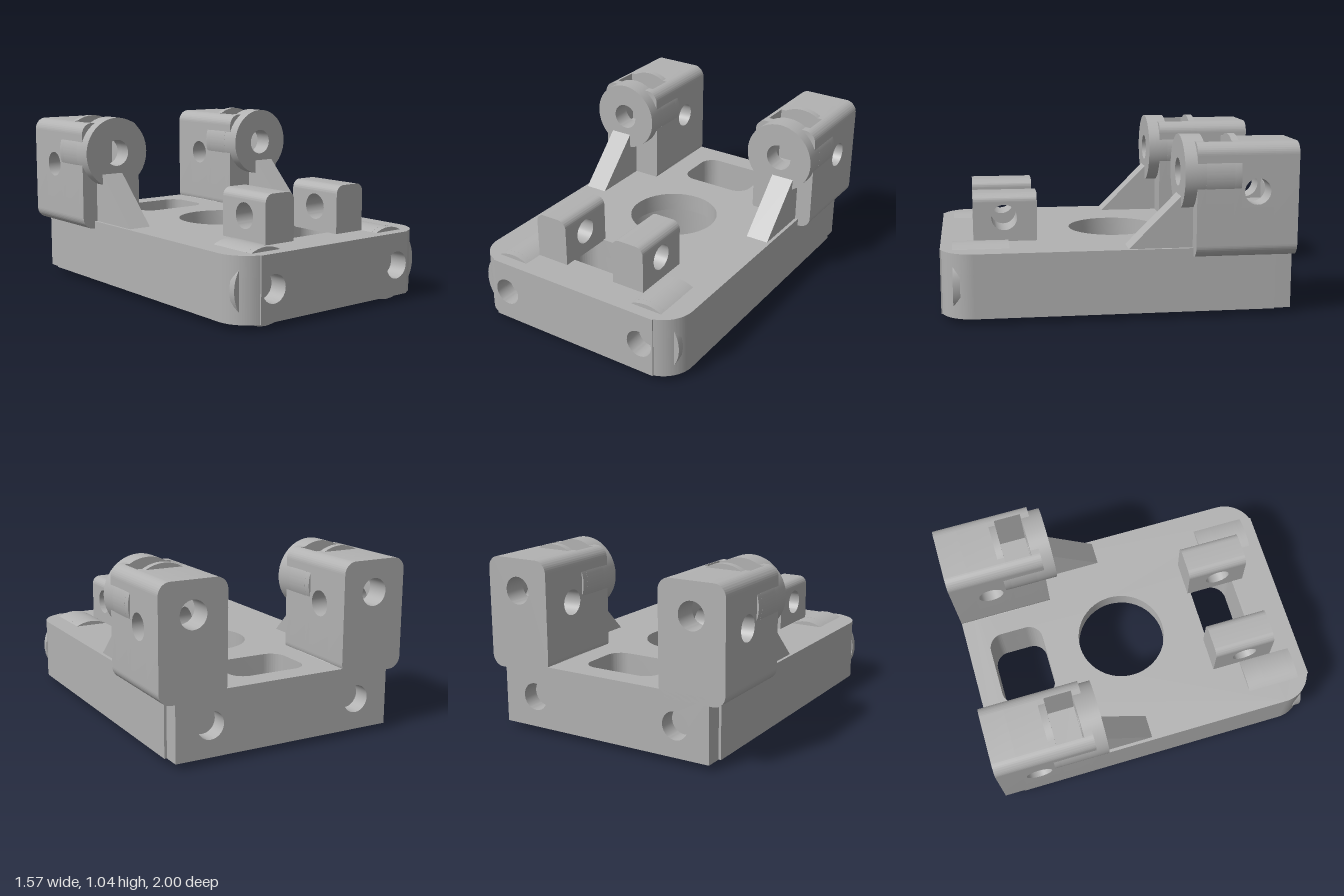
import * as THREE from 'three';
import { toCreasedNormals } from 'three/addons/utils/BufferGeometryUtils.js';

const grey = new THREE.MeshStandardMaterial({ color: 0xb2b2b2 });
grey.name = 'grey';

// Rectangle x0..x1, y0..y1 with top radius rt and bottom radius rb
function rect(x0, x1, y0, y1, rt = 0, rb = 0, T = THREE.Shape) {
  const s = new T();
  const corner = (x, y, r, a) => (r ? s.absarc(x, y, r, a, a + Math.PI / 2, false) : s.lineTo(x, y));
  s.moveTo(x0 + rb, y0);
  corner(x1 - rb, y0 + rb, rb, -Math.PI / 2);
  corner(x1 - rt, y1 - rt, rt, 0);
  corner(x0 + rt, y1 - rt, rt, Math.PI / 2);
  corner(x0 + rb, y0 + rb, rb, Math.PI);
  s.closePath();
  return s;
}
function circle(x, y, r, T = THREE.Path) {
  const s = new T();
  s.absarc(x, y, r, 0, Math.PI * 2, false);
  return s;
}
function holed(shape, ...holes) {
  shape.holes.push(...holes);
  return shape;
}
function polygon(points) {
  return new THREE.Shape(points.map(([x, y]) => new THREE.Vector2(x, y)));
}
// Circular segment between two angles
function segment(x, y, r, a0, a1) {
  const s = new THREE.Shape();
  s.absarc(x, y, r, a0, a1, false);
  s.closePath();
  return s;
}

// Extrude a shape from a to b along an axis; for 'x' the shape is (-z, y), for 'y' it is (x, -z)
function add(group, name, shape, a, b, axis = 'z') {
  let geo = new THREE.ExtrudeGeometry(shape, { depth: b - a, bevelEnabled: false, curveSegments: 24 });
  geo.translate(0, 0, a);
  if (axis === 'x') geo.rotateY(Math.PI / 2);
  if (axis === 'y') geo.rotateX(-Math.PI / 2);
  geo = toCreasedNormals(geo, 0.5);
  const mesh = new THREE.Mesh(geo, grey);
  mesh.name = name;
  group.add(mesh);
}

const BOLT_X = 0.47, BOLT_Y = 0.215, BOLT_R = 0.08, BOSS_R = 0.215;
const BOTTOM = 0.035, STEP = 0.29, TOP = 0.405;

// Base outline with rounded front corners and a recess for the front wall
function baseOutline() {
  const s = new THREE.Shape();
  const t = Math.acos(0.055 / 0.19);
  s.moveTo(-0.695, 0.9);
  s.lineTo(-0.695, -0.81);
  s.absarc(-0.505, -0.81, 0.19, Math.PI, Math.PI + t, false);
  s.lineTo(-0.56, -0.885);
  s.lineTo(0.56, -0.885);
  s.absarc(0.505, -0.81, 0.19, -t, 0, false);
  s.lineTo(0.695, 0.9);
  s.closePath();
  return holed(s,
    rect(-0.235, 0.235, 0.53, 0.865, 0.09, 0.09, THREE.Path),
    rect(-0.3, 0.3, -0.74, -0.46, 0.1, 0.1, THREE.Path));
}

function makeBase() {
  const g = new THREE.Group();
  g.name = 'base';
  // lower layer has the counterbore and nut slots
  const lower = holed(baseOutline(), circle(0.01, 0.05, 0.37));
  for (const s of [-1, 1]) {
    const x = s * BOLT_X;
    lower.holes.push(rect(x - 0.12, x + 0.12, -0.88, -0.72, 0, 0, THREE.Path));
    lower.holes.push(rect(x - 0.12, x + 0.12, 0.67, 0.84, 0, 0, THREE.Path));
  }
  add(g, 'lowerPlate', lower, BOTTOM, STEP, 'y');
  add(g, 'upperPlate', holed(baseOutline(), circle(0.01, 0.05, 0.27)), STEP, TOP, 'y');
  // end walls with bolt holes
  const bolts = () => [-1, 1].map((s) => circle(s * BOLT_X, BOLT_Y, BOLT_R));
  add(g, 'frontWall', holed(rect(-0.56, 0.56, BOTTOM, TOP), ...bolts()), 0.885, 1);
  add(g, 'backWall', holed(rect(-0.68, 0.68, BOTTOM, TOP), ...bolts()), -1, -0.9);
  // bolt bosses: inner disc, roof over the nut slot, outer ring
  for (const s of [-1, 1]) {
    const x = s * BOLT_X;
    const ring = () => holed(circle(x, BOLT_Y, BOSS_R, THREE.Shape), circle(x, BOLT_Y, BOLT_R));
    const roof = () => {
      const a = Math.asin((STEP - BOLT_Y) / BOSS_R);
      return segment(x, BOLT_Y, BOSS_R, a, Math.PI - a);
    };
    add(g, 'frontBossInner', ring(), 0.61, 0.72);
    add(g, 'frontBossRoof', roof(), 0.72, 0.89);
    add(g, 'frontBossOuter', ring(), 0.89, 0.93);
    add(g, 'backBossInner', ring(), -0.67, -0.56);
    add(g, 'backBossRoof', roof(), -0.84, -0.67);
    add(g, 'backBossOuter', ring(), -0.88, -0.84);
  }
  return g;
}

// Rear tower centred on x = 0, built in slices so that both bores run through it
function makeTower() {
  const g = new THREE.Group();
  const w = 0.2025, y0 = 0.36, y1 = 1.01, r = 0.07, cy = 0.825, R = 0.215;
  const bore = () => circle(0, cy, 0.08);
  const body = () => holed(rect(-w, w, y0, y1, r, r), bore());
  const ring = () => holed(circle(0, cy, R, THREE.Shape), bore());
  add(g, 'boltCollar', ring(), -0.47, -0.35);
  add(g, 'towerFront', body(), -0.47, -0.42);
  // nut slot, open at the top
  const n = 0.14, floor = 0.68;
  add(g, 'slotFloor', rect(-w, w, y0, floor, 0, r), -0.63, -0.47);
  const cheek = new THREE.Shape();
  cheek.moveTo(n, floor);
  cheek.lineTo(w, floor);
  cheek.absarc(w - r, y1 - r, r, 0, Math.acos((n - w + r) / r), false);
  cheek.closePath();
  const mirrored = polygon(cheek.getPoints(24).map((p) => [-p.x, p.y]).reverse());
  add(g, 'slotCheek', cheek, -0.63, -0.47);
  add(g, 'slotCheek', mirrored, -0.63, -0.47);
  const a = Math.acos(n / R);
  add(g, 'slotBulge', segment(0, cy, R, -a, a), -0.63, -0.47);
  add(g, 'slotBulge', segment(0, cy, R, Math.PI - a, Math.PI + a), -0.63, -0.47);
  add(g, 'collarBack', ring(), -0.67, -0.63);
  add(g, 'towerMiddle', body(), -0.67, -0.63);
  // slice with the sideways pin hole
  add(g, 'pinFloor', rect(-w, w, y0, 0.65, 0, r), -0.86, -0.67);
  add(g, 'pinRoof', rect(-w, w, 0.91, y1, r, 0), -0.86, -0.67);
  for (const [p, q] of [[-w, -0.08], [0.08, w]]) {
    add(g, 'pinCheek', holed(rect(0.67, 0.86, 0.65, 0.91), circle(0.765, 0.735, 0.075)), p, q, 'x');
  }
  add(g, 'towerBack', body(), -1, -0.86);
  // sloping brace in front
  add(g, 'brace', polygon([[0.05, 0.4], [0.43, 0.4], [0.43, 0.705], [0.355, 0.705]]), -0.035, 0.105, 'x');
  return g;
}

// Front hinge lug centred on x = 0
function makeLug() {
  const g = new THREE.Group();
  const w = 0.103;
  add(g, 'lugBody', holed(rect(-0.81, -0.44, 0.4, 0.635), circle(-0.63, 0.545, 0.075)), -w, w, 'x');
  add(g, 'lugTop', rect(-w, w, 0.635, 0.685, 0.05, 0), 0.44, 0.81);
  return g;
}

export function createModel() {
  const model = new THREE.Group();
  model.name = 'hingeMount';
  model.add(makeBase());
  for (const s of [-1, 1]) {
    const side = s > 0 ? 'left' : 'right';
    const tower = makeTower();
    tower.name = side + 'Tower';
    tower.position.x = s * 0.572;
    // braces mirror about the centre plane
    if (s < 0) tower.getObjectByName('brace').position.x = -0.07;
    tower.getObjectByName('brace').position.x += s > 0 ? -0.002 : 0;
    const lug = makeLug();
    lug.name = side + 'Lug';
    lug.position.x = s * 0.267;
    model.add(tower, lug);
  }
  return model;
}
